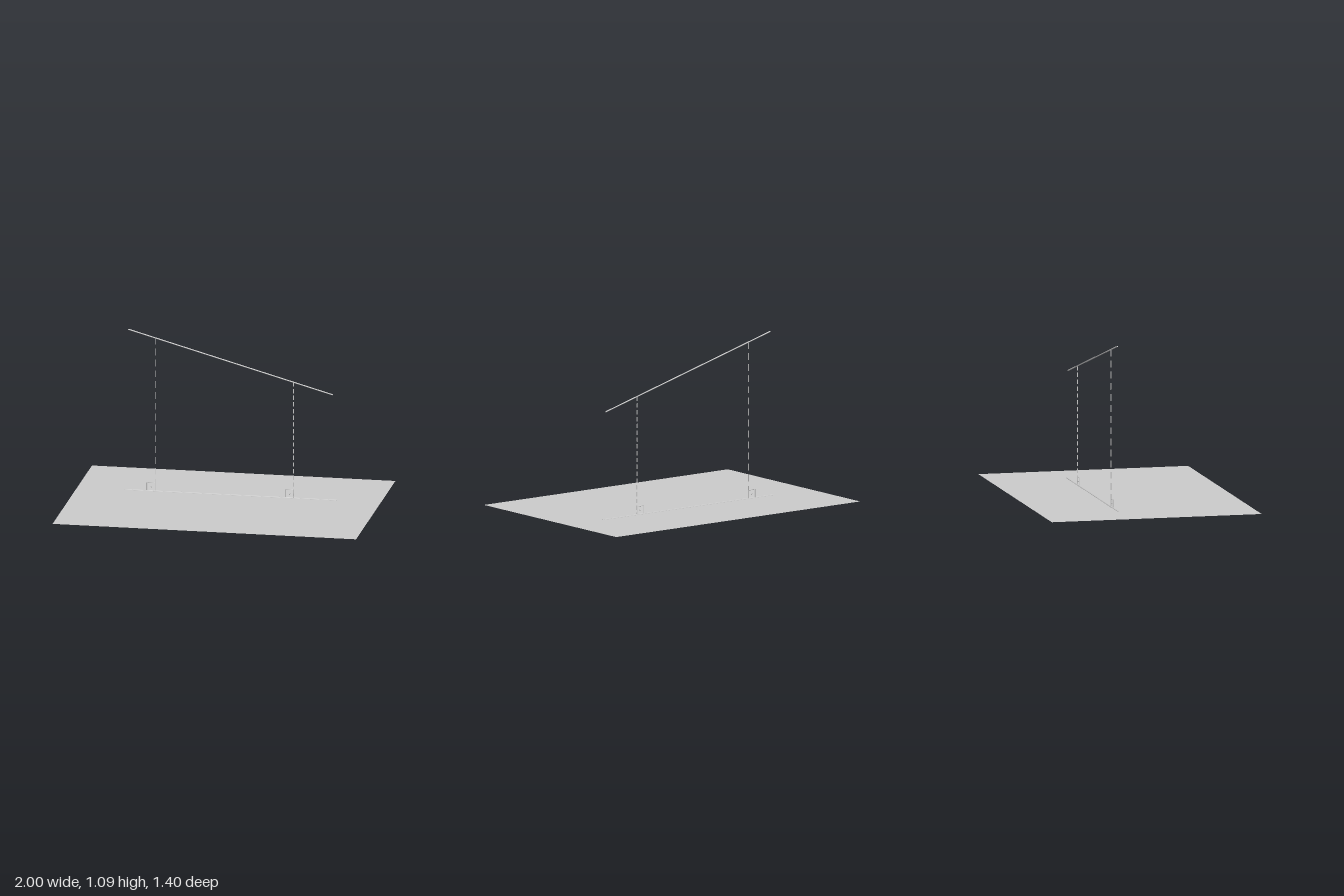
import * as THREE from 'three';

const Z = -0.18, GROUND = 0.005;

export function createModel() {
  const group = new THREE.Group();
  const material = new THREE.MeshStandardMaterial({ color: 0xcccccc });
  const sheetMaterial = new THREE.MeshStandardMaterial({ color: 0xcccccc, side: THREE.DoubleSide });

  // Round rod between two points of the vertical plane z = Z
  function rod(name, parent, x1, y1, x2, y2, radius) {
    const a = new THREE.Vector3(x1, y1, Z), b = new THREE.Vector3(x2, y2, Z);
    const mesh = new THREE.Mesh(new THREE.CylinderGeometry(radius, radius, a.distanceTo(b), 12), material);
    mesh.name = name;
    mesh.position.copy(a).add(b).multiplyScalar(0.5);
    mesh.quaternion.setFromUnitVectors(new THREE.Vector3(0, 1, 0), b.sub(a).normalize());
    parent.add(mesh);
  }

  // Horizontal projection plane
  const plane = new THREE.Mesh(new THREE.PlaneGeometry(2, 1.4), sheetMaterial);
  plane.name = 'projectionPlane';
  plane.rotation.x = -Math.PI / 2;
  plane.position.y = GROUND;
  group.add(plane);

  // Sloping line in space and its projection lying in the plane
  rod('slopingLine', group, -0.665, 1.087, 0.683, 0.715, 0.004);
  rod('projectedLine', group, -0.69, GROUND, 0.71, GROUND, 0.005);

  // Dashed perpendiculars, each with a dotted right-angle mark at its foot
  const drops = [
    { side: 'right', x: -0.487, top: 1.038, radius: 0.0022, dash: 0.045, step: 0.073 },
    { side: 'left', x: 0.425, top: 0.786, radius: 0.0035, dash: 0.028, step: 0.045 },
  ];
  for (const { side, x, top, radius, dash, step } of drops) {
    const dashes = new THREE.Group();
    dashes.name = side + 'DashedPerpendicular';
    for (let y = top; y > GROUND; y -= step) {
      rod('dash', dashes, x, y, x, Math.max(y - dash, 0), radius);
    }
    group.add(dashes);

    const mark = new THREE.Group();
    mark.name = side + 'RightAngleMark';
    const size = 0.053, y0 = 0.008, r = 0.0025;
    const corners = [[x, y0], [x - size, y0], [x - size, y0 + size], [x, y0 + size]];
    corners.forEach(([cx, cy], i) => {
      const [nx, ny] = corners[(i + 1) % 4];
      rod('markEdge', mark, cx, cy, nx, ny, r);
    });
    const dot = new THREE.Mesh(new THREE.SphereGeometry(0.005, 12, 8), material);
    dot.name = 'markDot';
    dot.position.set(x - size / 2, y0 + size / 2, Z);
    mark.add(dot);
    group.add(mark);
  }

  return group;
}
